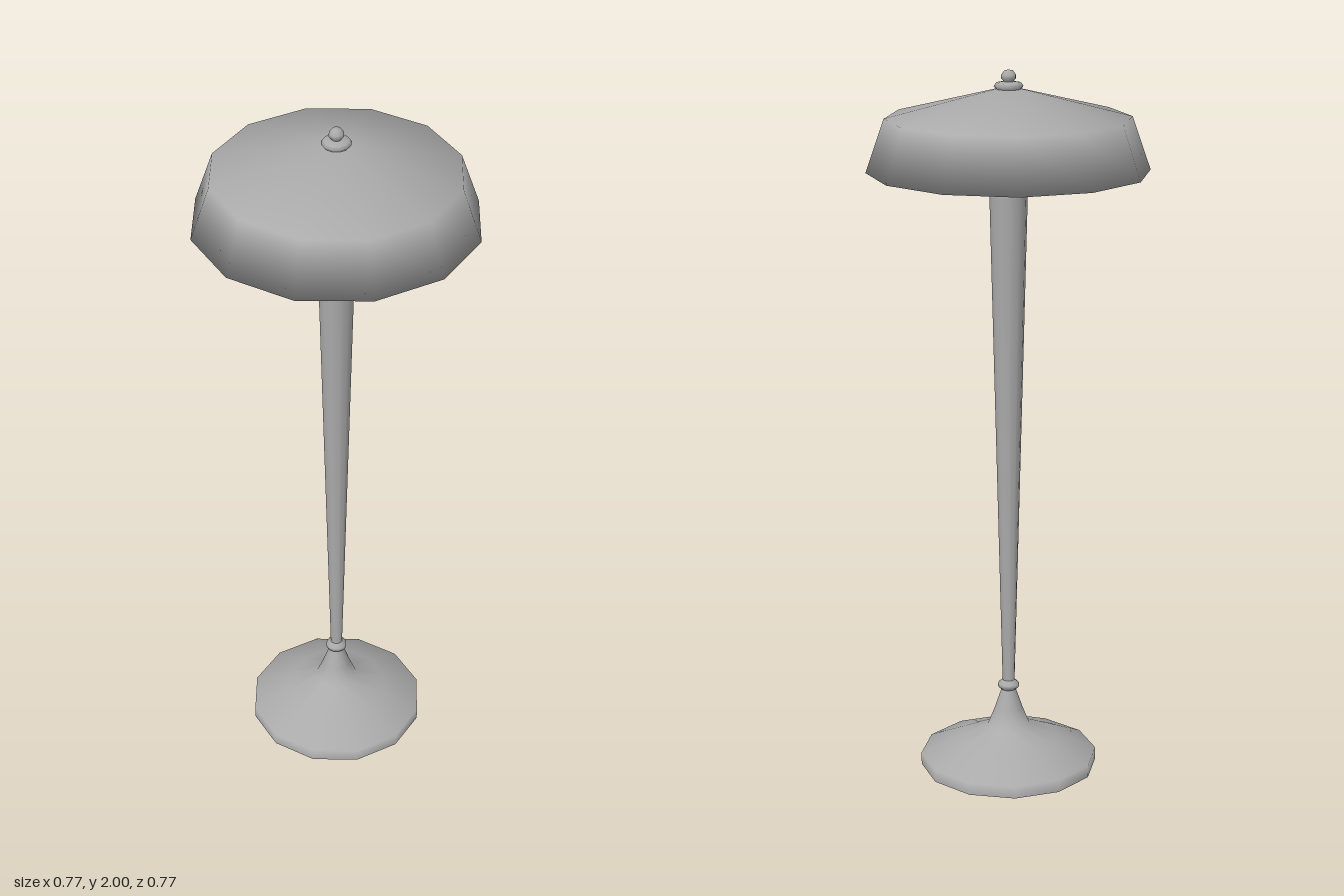
import * as THREE from 'three';
import { mergeVertices } from 'three/addons/utils/BufferGeometryUtils.js';

const SIDES = 12;

export function createModel() {
  const lamp = new THREE.Group();
  lamp.name = 'tableLamp';
  const metal = new THREE.MeshStandardMaterial({ color: 0xaaaaaa });

  // Turned part from a bottom-to-top [radius, height] profile,
  // with normals smoothed over the whole welded surface
  function turned(name, profile) {
    const points = profile.map(([r, y]) => new THREE.Vector2(r, y));
    const lathe = new THREE.LatheGeometry(points, SIDES);
    lathe.deleteAttribute('normal');
    lathe.deleteAttribute('uv');
    const geometry = mergeVertices(lathe, 1e-4);
    geometry.computeVertexNormals();
    const mesh = new THREE.Mesh(geometry, metal);
    mesh.name = name;
    lamp.add(mesh);
  }

  // Foot: low disc rising to a slender cone, on a flat underside
  turned('baseUnderside', [[0, 0], [0.252, 0]]);
  turned('base', [
    [0.252, 0], [0.252, 0.035], [0.14, 0.085], [0.06, 0.12], [0.04, 0.17], [0.018, 0.235],
  ]);

  // Small bead between foot and column
  turned('collar', [
    [0.015, 0.223], [0.03, 0.235], [0.03, 0.245], [0.015, 0.258],
  ]);

  // Column widening upwards, with a bevelled head
  turned('column', [
    [0.017, 0.25], [0.052, 1.66], [0.052, 1.675], [0.03, 1.697], [0, 1.7],
  ]);

  // Socket that carries the shade
  turned('socket', [
    [0.022, 1.695], [0.037, 1.71], [0.037, 1.735], [0.022, 1.75], [0, 1.755],
  ]);

  // Faceted shade, closed below by a shallow dished panel
  turned('shade', [
    [0, 1.755], [0.385, 1.727], [0.334, 1.872], [0, 1.957],
  ]);

  // Washer and round knob on top
  turned('washer', [
    [0.032, 1.947], [0.04, 1.956], [0.034, 1.965], [0.014, 1.968], [0, 1.968],
  ]);
  turned('finial', [
    [0.01, 1.962], [0.012, 1.967], [0.02, 1.977], [0.02, 1.986], [0.012, 1.997], [0, 2],
  ]);

  return lamp;
}
